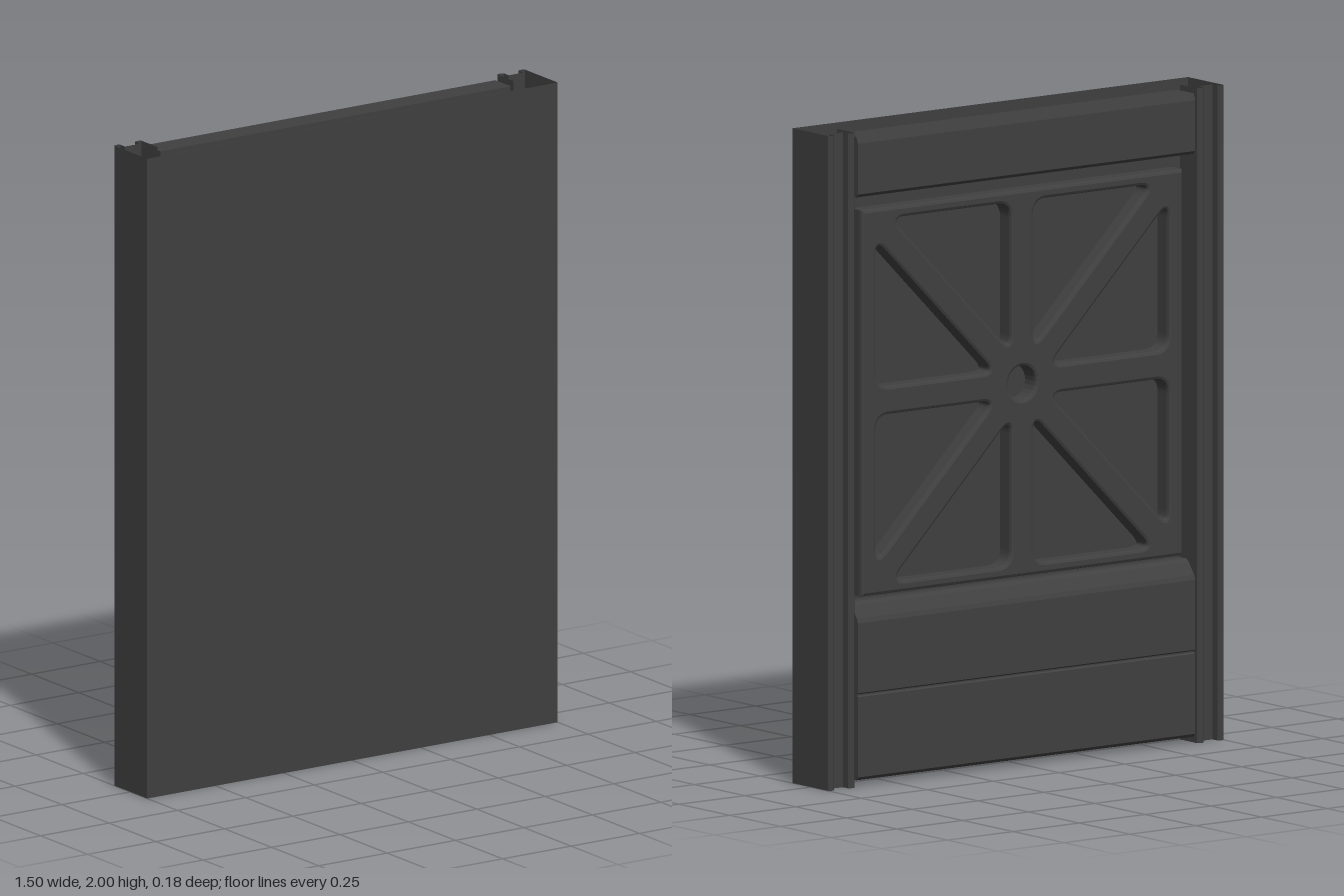
import * as THREE from 'three';

const V = (x, y) => new THREE.Vector2(x, y);

// Open folded sheet: an (x, z) outline swept from y0 to y1
function foldedSheet(path, y0, y1) {
  const pos = [], idx = [];
  for (let i = 0; i < path.length - 1; i++) {
    const [a, b] = [path[i], path[i + 1]], n = pos.length / 3;
    pos.push(a[0], y0, a[1], b[0], y0, b[1], b[0], y1, b[1], a[0], y1, a[1]);
    idx.push(n, n + 1, n + 2, n, n + 2, n + 3);
  }
  const g = new THREE.BufferGeometry();
  g.setAttribute('position', new THREE.Float32BufferAttribute(pos, 3));
  g.setIndex(idx);
  g.computeVertexNormals();
  return g;
}

// Closed polygon with rounded corners
function roundedPath(pts, d) {
  const p = new THREE.Path();
  pts.forEach((c, i) => {
    const prev = pts[(i + pts.length - 1) % pts.length], next = pts[(i + 1) % pts.length];
    const a = c.clone().add(prev.clone().sub(c).setLength(d));
    const b = c.clone().add(next.clone().sub(c).setLength(d));
    if (i === 0) p.moveTo(a.x, a.y); else p.lineTo(a.x, a.y);
    p.quadraticCurveTo(c.x, c.y, b.x, b.y);
  });
  p.closePath();
  return p;
}

export function createModel() {
  const model = new THREE.Group();
  const dark = new THREE.MeshStandardMaterial({ color: 0x404040 });
  const sheet = new THREE.MeshStandardMaterial({ color: 0x404040, side: THREE.DoubleSide });
  const add = (name, geo, mat = dark) => {
    const m = new THREE.Mesh(geo, mat);
    m.name = name;
    model.add(m);
    return m;
  };

  // Outer skin: front, sides and the grooved rear flanges
  const half = [[0.75, 0.09], [0.75, -0.085], [0.745, -0.09], [0.733, -0.09], [0.728, -0.085],
    [0.728, -0.06], [0.674, -0.06], [0.674, -0.085], [0.669, -0.09], [0.655, -0.09],
    [0.65, -0.085], [0.65, 0]];
  const mirrored = half.map(([x, z]) => [-x, z]).reverse();
  add('outerShell', foldedSheet([...mirrored, ...half], 0, 2), sheet);

  // Inner panel: (depth, height) profile extruded across the width
  const profile = [[0, 0.02], [0.08, 0.02], [0.089, 0.03], [0.089, 0.275], [0.084, 0.279],
    [0.084, 0.283], [0.089, 0.287], [0.089, 0.5], [0.084, 0.515], [0.058, 0.55], [0.045, 0.56],
    [0.014, 0.56], [0.014, 1.8], [0.08, 1.8], [0.089, 1.81], [0.089, 1.965], [0.082, 1.985], [0, 1.985]];
  const panel = new THREE.ExtrudeGeometry(new THREE.Shape(profile.map(([u, v]) => V(u, v))),
    { depth: 1.28, bevelEnabled: false });
  panel.translate(0, 0, -0.64).rotateY(Math.PI / 2);
  add('innerPanel', panel);

  // Thin raised face on the hidden side of the inner panel
  add('innerFace', new THREE.BoxGeometry(1.2, 1.94, 0.012)).position.set(0, 1, 0.004);

  // Spoked plate with eight triangular pockets and a central hole
  const W = 0.61, H = 0.59, s = 0.043, w = 0.555, k = s * Math.SQRT2;
  const plate = new THREE.Shape([V(-W, -H), V(W, -H), V(W, H), V(-W, H)]);
  const tri = [[s + k, s], [w, s], [w, w - k]];
  for (const sx of [1, -1]) for (const sy of [1, -1]) for (const swap of [false, true]) {
    const pts = tri.map(([a, b]) => swap ? V(sx * b, sy * a) : V(sx * a, sy * b));
    plate.holes.push(roundedPath(pts, 0.05));
  }
  const hub = new THREE.Path();
  hub.absarc(0, 0, 0.052, 0, Math.PI * 2, true);
  plate.holes.push(hub);
  const plateGeo = new THREE.ExtrudeGeometry(plate, {
    depth: 0.046, bevelThickness: 0.012, bevelSize: 0.01, bevelOffset: -0.01,
    bevelSegments: 2, curveSegments: 12,
  });
  add('spokedPlate', plateGeo).position.set(0, 1.165, -0.058);

  return model;
}
